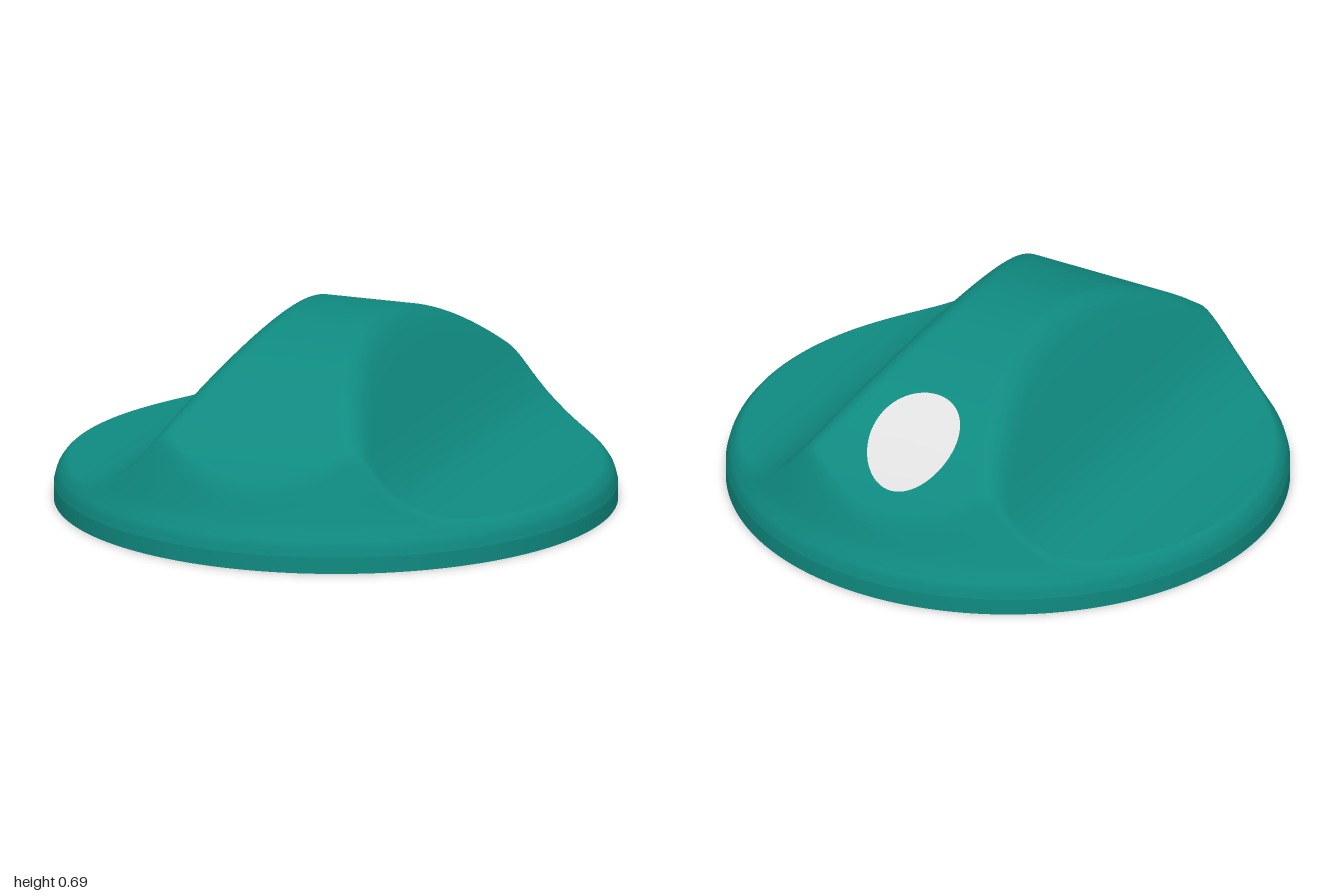
import * as THREE from 'three';

// smooth cubic through [x, y] points, extended straight past both ends
function spline(pts) {
  const n = pts.length - 1;
  const chord = (i, j) => (pts[j][1] - pts[i][1]) / (pts[j][0] - pts[i][0]);
  const slope = pts.map((_, i) => chord(Math.max(i - 1, 0), Math.min(i + 1, n)));
  return (x) => {
    if (x <= pts[0][0]) return pts[0][1] + slope[0] * (x - pts[0][0]);
    if (x >= pts[n][0]) return pts[n][1] + slope[n] * (x - pts[n][0]);
    let i = 0;
    while (x > pts[i + 1][0]) i++;
    const w = pts[i + 1][0] - pts[i][0], t = (x - pts[i][0]) / w, u = 1 - t;
    return pts[i][1] * u * u * (1 + 2 * t) + pts[i + 1][1] * t * t * (3 - 2 * t)
      + w * (slope[i] * t * u * u - slope[i + 1] * t * t * u);
  };
}

// minimum of two heights with a fillet of size k
function softMin(a, b, k) {
  const h = Math.max(k - Math.abs(a - b), 0) / k;
  return Math.min(a, b) - h * h * k / 4;
}

// grip flanks across x, crown arc along z, and rim skirt by radius
const flank = spline([[0.2, 0.68], [0.315, 0.51], [0.42, 0.35], [0.5, 0.258],
  [0.583, 0.2], [0.66, 0.168], [0.76, 0.15], [0.88, 0.143], [1, 0.142]]);
const skirt = spline([[0.85, 0.44], [0.88, 0.355], [0.907, 0.285], [0.95, 0.172],
  [0.975, 0.125], [0.99, 0.097], [1, 0.06]]);
const crown = (z) => 0.69 - 1.2 + Math.sqrt(1.44 - z * z);

function height(x, z) {
  const grip = softMin(flank(Math.abs(x)), crown(z), 0.09);
  return softMin(grip, skirt(Math.hypot(x, z)), 0.035);
}

// round patch of rings, each ring given as [radius, function (x, z) => y]
function roundPatch(rings, segments, cx, cz) {
  const pos = [], index = [];
  rings.forEach(([r, y], j) => {
    for (let i = 0; i < segments; i++) {
      const a = (i / segments) * Math.PI * 2;
      const x = cx + r * Math.cos(a), z = cz + r * Math.sin(a);
      pos.push(x, y(x, z), z);
      if (j === 0) continue;
      const next = (i + 1) % segments;
      const p = (j - 1) * segments + i, q = (j - 1) * segments + next;
      const s = j * segments + i, t = j * segments + next;
      if (j > 1) index.push(p, q, s);
      index.push(q, t, s);
    }
  });
  const geo = new THREE.BufferGeometry();
  geo.setAttribute('position', new THREE.Float32BufferAttribute(pos, 3));
  geo.setIndex(index);
  geo.computeVertexNormals();
  // the centre ring is one point, so it shares one normal
  const normal = geo.attributes.normal, sum = new THREE.Vector3(), v = new THREE.Vector3();
  for (let i = 0; i < segments; i++) sum.add(v.fromBufferAttribute(normal, i));
  sum.normalize();
  for (let i = 0; i < segments; i++) normal.setXYZ(i, sum.x, sum.y, sum.z);
  return geo;
}

export function createModel() {
  const teal = new THREE.MeshStandardMaterial({ color: 0x0f8a80 });
  teal.name = 'teal';
  const paleGrey = new THREE.MeshStandardMaterial({ color: 0xe0e0e0 });
  paleGrey.name = 'pale grey';

  const group = new THREE.Group();
  group.name = 'knob';
  const add = (name, geometry, material) => {
    const mesh = new THREE.Mesh(geometry, material);
    mesh.name = name;
    group.add(mesh);
    return mesh;
  };

  // knob body, rings closer together towards the rim, then the upright edge
  const rings = [];
  const count = 110;
  for (let j = 0; j <= count; j++) {
    rings.push([Math.sin((j / count) * Math.PI / 2), height]);
  }
  rings.push([1, () => 0.03], [1, () => 0]);
  add('knobBody', roundPatch(rings, 256, 0, 0), teal);

  // flat underside
  const underside = add('underside', new THREE.CircleGeometry(1, 256), teal);
  underside.rotation.x = Math.PI / 2;

  // round pointer mark laid on the back slope of the grip
  const markRings = [];
  for (let j = 0; j <= 12; j++) {
    markRings.push([0.165 * j / 12, (x, z) => height(x, z) + 0.004]);
  }
  add('pointerMark', roundPatch(markRings, 64, 0, -0.675), paleGrey);

  return group;
}
